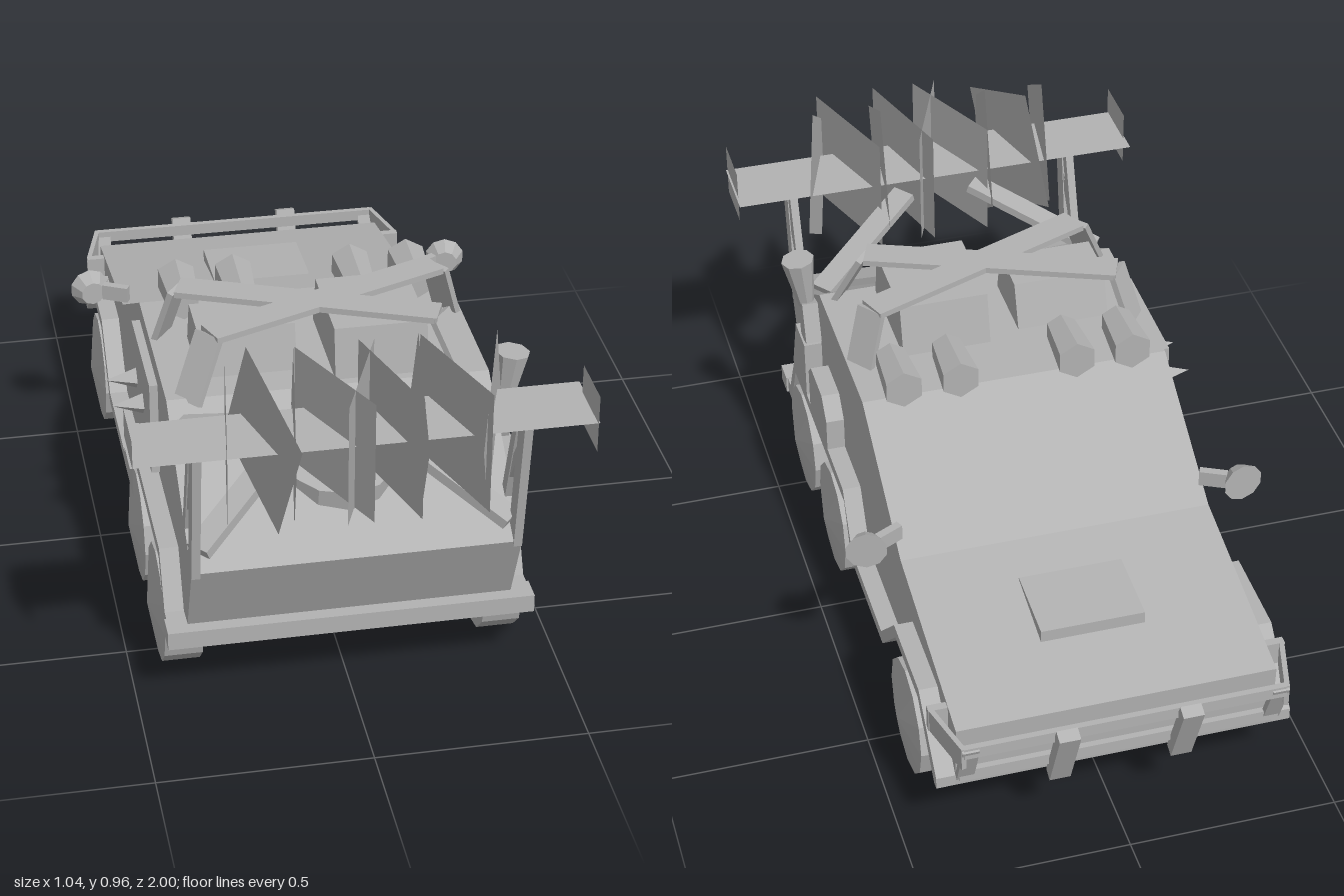
import * as THREE from 'three';

export function createModel() {
  const model = new THREE.Group();
  const grey = new THREE.MeshStandardMaterial({ color: 0xb2b2b2, flatShading: true, side: THREE.DoubleSide });
  grey.name = 'plainGrey';

  const add = (name, geometry, x = 0, y = 0, z = 0) => {
    const mesh = new THREE.Mesh(geometry, grey);
    mesh.name = name;
    mesh.position.set(x, y, z);
    model.add(mesh);
    return mesh;
  };
  const box = (name, w, h, d, x, y, z) => add(name, new THREE.BoxGeometry(w, h, d), x, y, z);

  // Extrudes a (z, y) outline across x from x0 to x1
  const slab = (name, points, x0, x1) => {
    const shape = new THREE.Shape(points.map(([z, y]) => new THREE.Vector2(z, y)));
    const g = new THREE.ExtrudeGeometry(shape, { depth: x1 - x0, bevelEnabled: false });
    g.rotateY(-Math.PI / 2);
    g.translate(x1, 0, 0);
    return add(name, g);
  };

  // Straight plank between two points
  const beam = (name, a, b, w, t) => {
    const p = new THREE.Vector3(...a), q = new THREE.Vector3(...b);
    const mesh = add(name, new THREE.BoxGeometry(w, t, p.distanceTo(q)));
    mesh.position.copy(p).add(q).multiplyScalar(0.5);
    mesh.lookAt(q);
    return mesh;
  };

  // Hull
  slab('hull', [[0.69, 0.175], [0.79, 0.41], [0.43, 0.65], [-0.03, 0.65],
    [-0.385, 0.445], [-0.88, 0.35], [-0.87, 0.175]], -0.38, 0.38);
  box('endBar', 0.86, 0.045, 0.06, 0, 0.195, 0.71);
  slab('hoodScoop', [[-0.49, 0.4], [-0.5, 0.428], [-0.685, 0.418], [-0.685, 0.37]], -0.125, 0.125);

  // Sloped-deck hatch drum
  const hatch = add('hatchDrum', new THREE.CylinderGeometry(0.14, 0.145, 0.14, 12), 0, 0.485, 0.55);
  hatch.rotation.x = 0.2;

  const fender = [[0.74, 0.175], [0.74, 0.215], [0.65, 0.215], [0.58, 0.345], [0.03, 0.345],
    [-0.05, 0.205], [-0.35, 0.205], [-0.49, 0.345], [-0.72, 0.345], [-0.87, 0.205],
    [-0.87, 0.175], [-0.85, 0.175], [-0.71, 0.315], [-0.5, 0.315], [-0.36, 0.175],
    [-0.04, 0.175], [0.02, 0.315], [0.57, 0.315], [0.64, 0.175]];

  // Wheel: twelve-sided tyre with a shallow cone outside
  const wheelProfile = [[0, 0.335], [0.142, 0.335], [0.142, 0.425], [0, 0.448]]
    .map(([r, h]) => new THREE.Vector2(r, h));

  for (const s of [1, -1]) {
    slab('fender', fender, s > 0 ? 0.37 : -0.425, s > 0 ? 0.425 : -0.37);
    for (const z of [0.506, 0.171, -0.589]) {
      const wheel = add('wheel', new THREE.LatheGeometry(wheelProfile, 12), 0, 0.146, z);
      wheel.rotation.z = -s * Math.PI / 2;
    }

    // Mirrors
    const mirror = add('mirror', new THREE.CylinderGeometry(0.03, 0.05, 0.035, 10), s * 0.46, 0.5, -0.375);
    mirror.rotation.set(Math.PI / 2, 0, s * 0.15);
    beam('mirrorStalk', [s * 0.37, 0.5, -0.34], [s * 0.43, 0.5, -0.37], 0.02, 0.04);

    // Roof lamps
    for (const x of [0.145, 0.285]) {
      const lamp = add('roofLamp', new THREE.CylinderGeometry(0.04, 0.05, 0.14, 6), s * x, 0.693, 0.005);
      lamp.rotation.set(Math.PI / 2, 0, 0);
    }

    // Nose guard uprights and side brackets
    beam('guardUpright', [s * 0.145, 0.365, -0.975], [s * 0.145, 0.18, -0.9], 0.05, 0.03);
    beam('guardPost', [s * 0.365, 0.355, -0.95], [s * 0.365, 0.225, -0.895], 0.04, 0.015);
    beam('guardBracket', [s * 0.38, 0.33, -0.95], [s * 0.42, 0.33, -0.8], 0.012, 0.06);
    beam('bracketFoot', [s * 0.37, 0.33, -0.8], [s * 0.425, 0.33, -0.8], 0.02, 0.06);

    // Roller support trusses
    beam('rollerArm', [s * 0.37, 0.4, 0.765], [s * 0.37, 0.76, 0.82], 0.02, 0.05);
    beam('rollerStrut', [s * 0.37, 0.47, 0.68], [s * 0.37, 0.74, 0.77], 0.02, 0.03);
    beam('rollerTie', [s * 0.37, 0.52, 0.69], [s * 0.37, 0.66, 0.79], 0.015, 0.025);
    beam('rollerBrace', [s * 0.36, 0.62, 0.49], [s * 0.09, 0.73, 0.7], 0.06, 0.02);
    beam('deckPlank', [s * 0.36, 0.452, 0.76], [s * 0.08, 0.615, 0.515], 0.06, 0.025);

    // Axle end fins
    const fin = add('endFin', new THREE.PlaneGeometry(0.14, 0.14), s * 0.515, 0.765, 0.815);
    fin.rotation.y = Math.PI / 2;
  }
  beam('guardTopRail', [-0.38, 0.345, -0.945], [0.38, 0.345, -0.945], 0.015, 0.03);
  beam('guardLowRail', [-0.38, 0.235, -0.9], [0.38, 0.235, -0.9], 0.015, 0.03);

  // Roller: thin axle sheet carrying twisted square blades [x, yaw, spin]
  const axle = add('axleSheet', new THREE.PlaneGeometry(1.04, 0.18), 0, 0.765, 0.79);
  axle.rotation.x = -Math.PI / 2;
  const blades = [[-0.3, -0.14, 0.55], [-0.22, 0.28, 0.4], [-0.15, -0.15, 0.6], [-0.06, 0.44, 0],
    [0, -0.38, 0], [0.065, 0.3, 0], [0.13, -0.11, 0.5], [0.21, 0.34, 0], [0.295, -0.33, 0.6]];
  for (const [x, yaw, spin] of blades) {
    const g = new THREE.PlaneGeometry(0.3, 0.3);
    g.rotateZ(spin);
    g.rotateY(Math.PI / 2 + yaw);
    add('rollerBlade', g, x, 0.755, 0.805);
  }

  // Roof cargo held by crossed straps with bent-down ends
  slab('cargoBox', [[0.41, 0.64], [0.39, 0.775], [0.15, 0.775], [0.12, 0.64]], 0.02, 0.24);
  slab('cargoBag', [[0.35, 0.64], [0.32, 0.76], [0.19, 0.76], [0.15, 0.64]], -0.29, -0.06);
  for (const s of [1, -1]) {
    beam('cargoStrap', [-s * 0.31, 0.785, 0.15], [s * 0.27, 0.785, 0.38], 0.075, 0.015);
    beam('strapEnd', [s * 0.27, 0.785, 0.38], [s * 0.33, 0.64, 0.43], 0.075, 0.015);
    beam('strapTail', [-s * 0.31, 0.785, 0.15], [-s * 0.35, 0.64, 0.12], 0.075, 0.015);
  }

  // Side stowage and exhaust on the left
  slab('stowageBox', [[0.59, 0.34], [0.53, 0.5], [0.43, 0.5], [0.43, 0.34]], 0.37, 0.425);
  slab('fuelCan', [[0.39, 0.34], [0.39, 0.45], [0.36, 0.48], [0.24, 0.48], [0.195, 0.43], [0.195, 0.34]], 0.37, 0.425);
  const stack = add('exhaustStack', new THREE.CylinderGeometry(0.042, 0.02, 0.14, 8), 0.412, 0.66, 0.485);
  stack.rotation.z = -0.12;
  beam('exhaustPipe', [0.4, 0.6, 0.485], [0.4, 0.5, 0.455], 0.04, 0.06);

  // Spiked side plate on the right
  box('sidePlate', 0.02, 0.24, 0.31, -0.395, 0.505, 0.165);
  for (const z of [0.07, 0.19]) {
    const spike = add('spike', new THREE.ConeGeometry(0.03, 0.08, 4), -0.44, 0.5, z);
    spike.rotation.z = Math.PI / 2;
  }
  return model;
}
